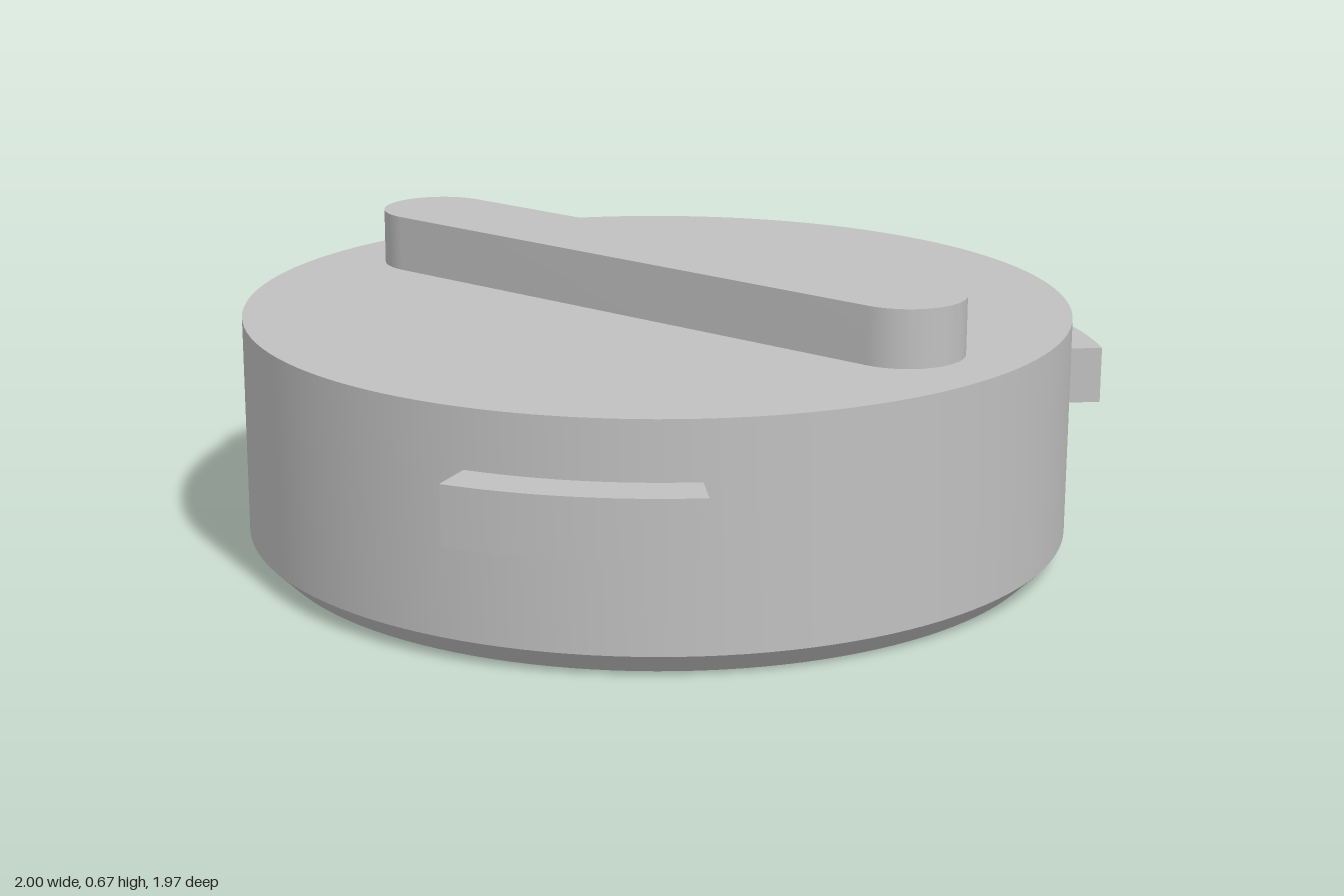
import * as THREE from 'three';
import { toCreasedNormals } from 'three/addons/utils/BufferGeometryUtils.js';

const R = 0.933, CENTER_Z = 0.05;
const rad = THREE.MathUtils.degToRad;

// Extrudes a plan shape upward from y0 to y1 (shape +y points to the back)
function slab(shape, y0, y1) {
  const geo = new THREE.ExtrudeGeometry(shape, { depth: y1 - y0, bevelEnabled: false, curveSegments: 24 });
  geo.rotateX(-Math.PI / 2).translate(0, y0, 0);
  return toCreasedNormals(geo, rad(25));
}

export function createModel() {
  const group = new THREE.Group();
  group.name = 'bayonetCap';
  const grey = new THREE.MeshStandardMaterial({ color: 0xc0c0c0 });
  grey.name = 'grey';
  const add = (name, geo) => {
    const mesh = new THREE.Mesh(geo, grey);
    mesh.name = name;
    mesh.position.z = CENTER_Z;
    group.add(mesh);
  };

  // Round body: chamfered lower edge and a round pocket underneath
  const profile = [
    [0, 0.19], [0.516, 0.19], [0.516, 0], [R - 0.05, 0],
    [R, 0.05], [R, 0.545], [0, 0.545],
  ].map(([x, y]) => new THREE.Vector2(x, y));
  add('body', toCreasedNormals(new THREE.LatheGeometry(profile, 128), rad(25)));

  // Grip bar with rounded ends
  const w = 0.133, h = 0.808 - w;
  const bar = new THREE.Shape();
  bar.absarc(0, h, w, 0, Math.PI);
  bar.absarc(0, -h, w, Math.PI, Math.PI * 2);
  bar.closePath();
  add('gripBar', slab(bar, 0.54, 0.673));

  // Three locking lugs, 30 degrees wide, evenly spaced
  [['backLug', 90], ['leftLug', -30], ['rightLug', -150]].forEach(([name, mid]) => {
    const a = rad(mid - 15), b = rad(mid + 15);
    const lug = new THREE.Shape();
    lug.absarc(0, 0, 1.035, a, b, false);
    lug.absarc(0, 0, 0.91, b, a, true);
    lug.closePath();
    add(name, slab(lug, 0.285, 0.415));
  });

  return group;
}
